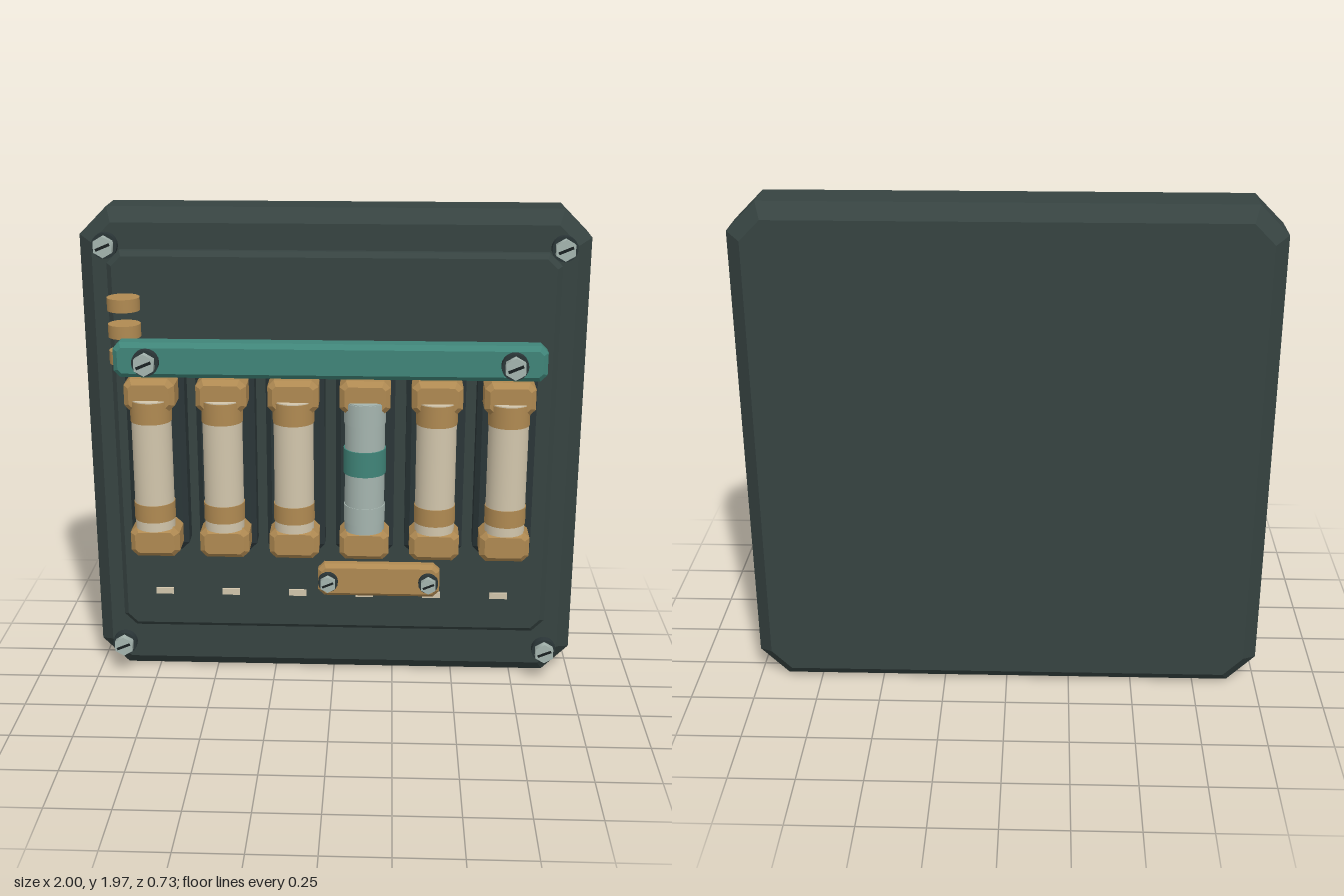
import * as THREE from 'three';

const mat = (name, color) => {
  const m = new THREE.MeshStandardMaterial({ color });
  m.name = name;
  return m;
};

export function createModel() {
  const M = {
    casing: mat('casing slate', 0x364341),
    carrier: mat('carrier dark', 0x2b3638),
    brass: mat('brass', 0xb08a52),
    teal: mat('teal', 0x408579),
    ceramic: mat('cream ceramic', 0xd2c6ac),
    pale: mat('pale steel', 0xa5b5af),
    slot: mat('slot black', 0x1a2122),
  };
  const root = new THREE.Group();

  const add = (parent, name, geo, material, x = 0, y = 0, z = 0) => {
    const m = new THREE.Mesh(geo, material);
    m.name = name;
    m.position.set(x, y, z);
    parent.add(m);
    return m;
  };

  // Box with cut corners (c) and bevelled front and back rims (b)
  const cutBox = (x0, x1, y0, y1, z0, z1, c, b) => {
    const w = (x1 - x0) / 2 - b, h = (y1 - y0) / 2 - b, k = Math.max(c - 0.586 * b, 0.002);
    const shape = new THREE.Shape([
      [w, -h + k], [w, h - k], [w - k, h], [-w + k, h],
      [-w, h - k], [-w, -h + k], [-w + k, -h], [w - k, -h],
    ].map(([x, y]) => new THREE.Vector2(x, y)));
    const geo = new THREE.ExtrudeGeometry(shape, {
      depth: z1 - z0 - 2 * b, bevelEnabled: true, bevelSize: b, bevelThickness: b, bevelSegments: 1,
    });
    return geo.translate((x0 + x1) / 2, (y0 + y1) / 2, z0 + b);
  };
  const tube = (r, y0, y1, seg = 28) =>
    new THREE.CylinderGeometry(r, r, y1 - y0, seg).translate(0, (y0 + y1) / 2, 0);

  // Washer, hexagonal head and slanted slot, facing +z
  const addScrew = (name, x, y, z, s = 1) => {
    const g = new THREE.Group();
    g.name = name;
    g.position.set(x, y, z);
    const disc = (r, d, seg) => new THREE.CylinderGeometry(r, r, d, seg).rotateX(Math.PI / 2);
    add(g, 'washer', disc(0.05 * s, 0.032 * s, 20), M.carrier, 0, 0, 0.016 * s);
    add(g, 'hexHead', disc(0.042 * s, 0.03 * s, 6), M.pale, 0, 0, 0.047 * s);
    const slot = add(g, 'slot', new THREE.BoxGeometry(0.06 * s, 0.011 * s, 0.004), M.slot, 0, 0, 0.062 * s);
    slot.rotation.z = 0.4;
    root.add(g);
  };

  // Casing and raised front panel
  add(root, 'casing', cutBox(-1, 1, 0, 1.97, -0.365, -0.095, 0.11, 0.055), M.casing);
  add(root, 'frontPanel', cutBox(-0.88, 0.88, 0.225, 1.815, -0.1, -0.033, 0.05, 0.02), M.casing);
  for (const x of [-0.885, 0.885])
    for (const y of [0.137, 1.833]) addScrew('cornerScrew', x, y, -0.073);

  // Six fuses, each with carrier, clips and label
  for (let i = 0; i < 6; i++) {
    const x = -0.693 + i * 0.2745, z = 0.165;
    const odd = i === 3;
    const g = new THREE.Group();
    g.name = odd ? 'indicatorFuse' : 'fuse';
    g.position.x = x;
    add(g, 'carrier', cutBox(-0.115, 0.115, 0.618, 1.39, -0.035, 0.077, 0.03, 0.02), M.carrier);
    add(g, 'upperClip', cutBox(-0.097, 0.097, 1.24, 1.37, 0.07, 0.213, 0.025, 0.02), M.brass);
    add(g, 'lowerClip', cutBox(-0.097, 0.097, 0.643, 0.768, 0.07, 0.213, 0.025, 0.02), M.brass);
    add(g, 'tube', tube(0.077, 0.762, 1.288), odd ? M.pale : M.ceramic, 0, 0, z);
    for (const [y0, y1] of [[0.8, 0.87], [1.2, 1.284]])
      add(g, 'endCap', tube(0.08, y0, y1), odd ? M.pale : M.brass, 0, 0, z);
    if (odd) add(g, 'indicatorBand', tube(0.082, 1.0, 1.1), M.teal, 0, 0, z);
    add(g, 'label', new THREE.BoxGeometry(0.072, 0.026, 0.009), M.ceramic, 0, 0.413, 0.016);
    root.add(g);
  }

  // Retaining bar across the upper clips
  add(root, 'retainingBar', cutBox(-0.805, 0.803, 1.403, 1.537, 0.213, 0.306, 0.025, 0.018), M.teal);
  for (const x of [-0.68, 0.68]) addScrew('barScrew', x, 1.468, 0.303);

  // Brass link under the middle fuses
  add(root, 'linkBar', cutBox(-0.05, 0.43, 0.488, 0.624, 0.158, 0.213, 0.025, 0.015), M.brass);
  for (const x of [-0.01, 0.385]) addScrew('linkScrew', x, 0.555, 0.208, 0.78);

  // Stacked terminal discs
  for (let i = 0; i < 3; i++)
    add(root, 'terminalDisc', tube(0.062, 1.42, 1.47), M.brass, -0.785, i * 0.102, 0.137);

  return root;
}
